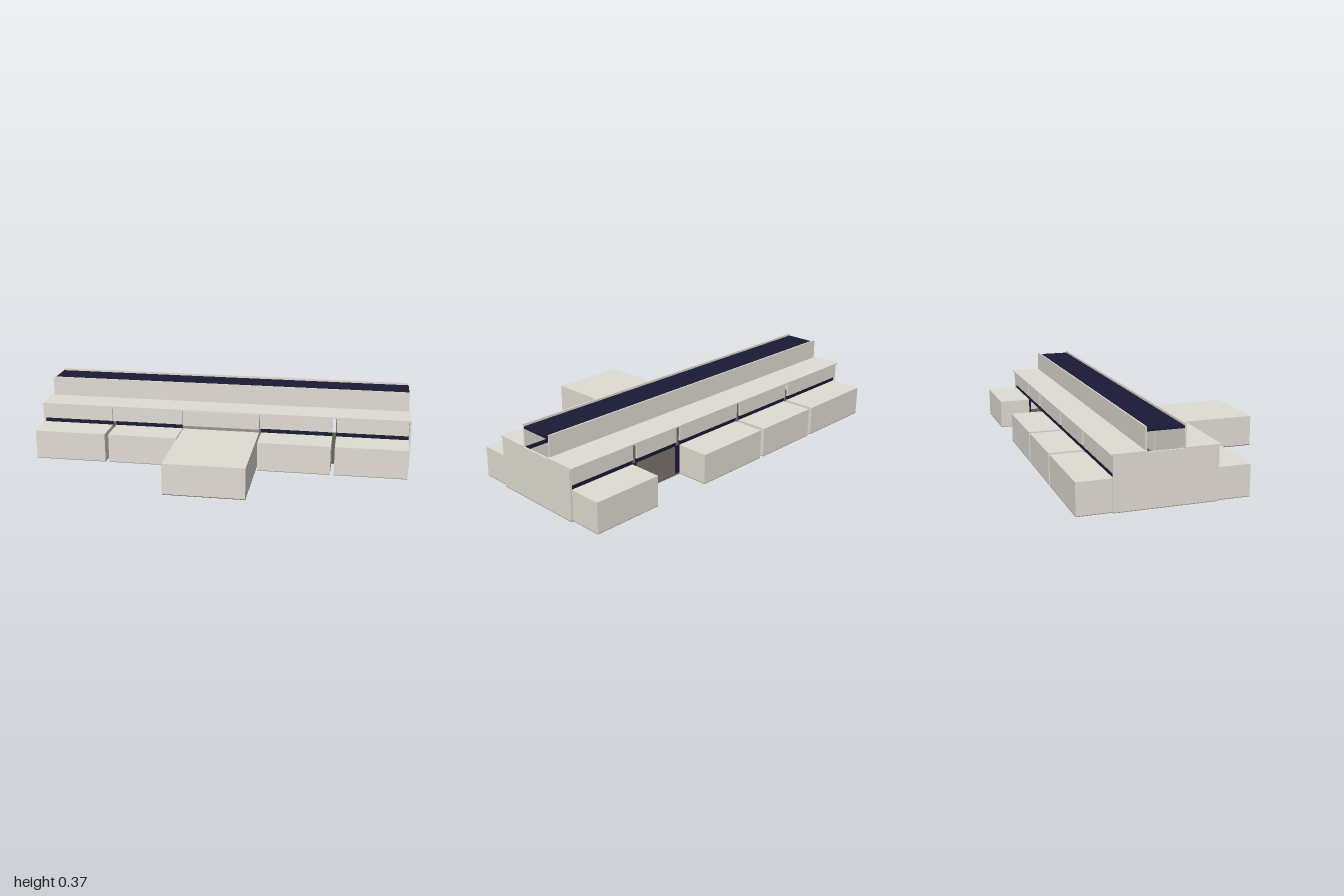
import * as THREE from 'three';

export function createModel() {
  const material = (name, color) => {
    const m = new THREE.MeshStandardMaterial({ color });
    m.name = name;
    return m;
  };
  const stone = material('pale stone', 0xe0dcd3);
  const glass = material('dark glass', 0x1a1a34);
  const concrete = material('grey concrete', 0x989388);
  const taupe = material('taupe floor', 0x5f5753);

  const model = new THREE.Group();
  model.name = 'longHall';

  // Box given by its lower and upper limits on each axis
  function block(name, mat, x0, x1, y0, y1, z0, z1) {
    const mesh = new THREE.Mesh(new THREE.BoxGeometry(x1 - x0, y1 - y0, z1 - z0), mat);
    mesh.position.set((x0 + x1) / 2, (y0 + y1) / 2, (z0 + z1) / 2);
    mesh.name = name;
    model.add(mesh);
  }

  const front = 0.055, back = -0.44, foot = 0.003, bayTop = 0.155, sill = 0.178, eaves = 0.26;

  // Hall slab, interior floor and end walls
  block('slab', concrete, -0.99, 0.99, 0, foot, back, front);
  block('hallFloor', taupe, -0.99, 0.99, foot, 0.007, back + 0.002, front - 0.002);
  for (const s of [-1, 1]) {
    const xs = [s * 0.99, s].sort((a, b) => a - b);
    block('endWallFoot', concrete, xs[0], xs[1], 0, foot, back, front);
    block('endWall', stone, xs[0], xs[1], foot, eaves, back, front);
  }

  // Two flat roof strips either side of the raised skylight
  block('frontRoof', stone, -1, 1, 0.258, 0.265, -0.105, 0.065);
  block('backRoof', stone, -1, 1, 0.258, 0.265, -0.45, -0.282);

  // Raised skylight: two long walls, open ends, dark glass top
  block('skylightFrontWall', stone, -0.988, 0.988, 0.26, 0.37, -0.106, -0.098);
  block('skylightBackWall', stone, -0.988, 0.988, 0.26, 0.37, -0.29, -0.282);
  block('skylightGlass', glass, -0.988, 0.988, 0.348, 0.359, -0.282, -0.106);

  // Side bays, each with a window band and a wall panel above
  const frontBays = [[-0.99, -0.607], [-0.587, -0.217], [0.213, 0.593], [0.613, 0.988]];
  const backBays = [[-0.99, -0.55], [-0.525, -0.143], [-0.118, 0.305], [0.33, 0.597], [0.62, 0.988]];
  for (const [x0, x1] of frontBays) {
    block('frontBayFoot', concrete, x0, x1, 0, foot, front, 0.215);
    block('frontBay', stone, x0, x1, foot, bayTop, front - 0.01, 0.215);
    block('frontWindowBand', glass, x0, x1, bayTop, sill, front - 0.012, front - 0.006);
    block('frontPanel', stone, x0, x1, sill, eaves, front - 0.01, front);
  }
  backBays.forEach(([x0, x1], i) => {
    // the fourth bay is left out, leaving an open doorway
    if (i !== 3) {
      block('backBayFoot', concrete, x0, x1, 0, foot, -0.605, back);
      block('backBay', stone, x0, x1, foot, bayTop, -0.605, back + 0.01);
    }
    block('backWindowBand', glass, x0, x1, bayTop, sill, back + 0.006, back + 0.012);
    block('backPanel', stone, x0, x1, sill, eaves, back, back + 0.01);
  });

  // Narrow glazed slots beside the doorway
  for (const [x0, x1] of [[0.305, 0.33], [0.597, 0.62]])
    block('doorwayGlass', glass, x0, x1, 0.007, bayTop, back + 0.004, back + 0.01);

  // Entrance wing with its own floor, the panel above it and a thin band
  block('entranceFloor', taupe, -0.208, 0.205, 0, foot, front, 0.605);
  block('entranceWing', stone, -0.208, 0.205, foot, 0.163, front - 0.01, 0.605);
  block('entrancePanel', stone, -0.208, 0.205, 0.163, eaves, front - 0.01, 0.073);
  block('entranceBand', concrete, -0.208, 0.205, 0.163, sill, 0.073, 0.075);

  return model;
}
